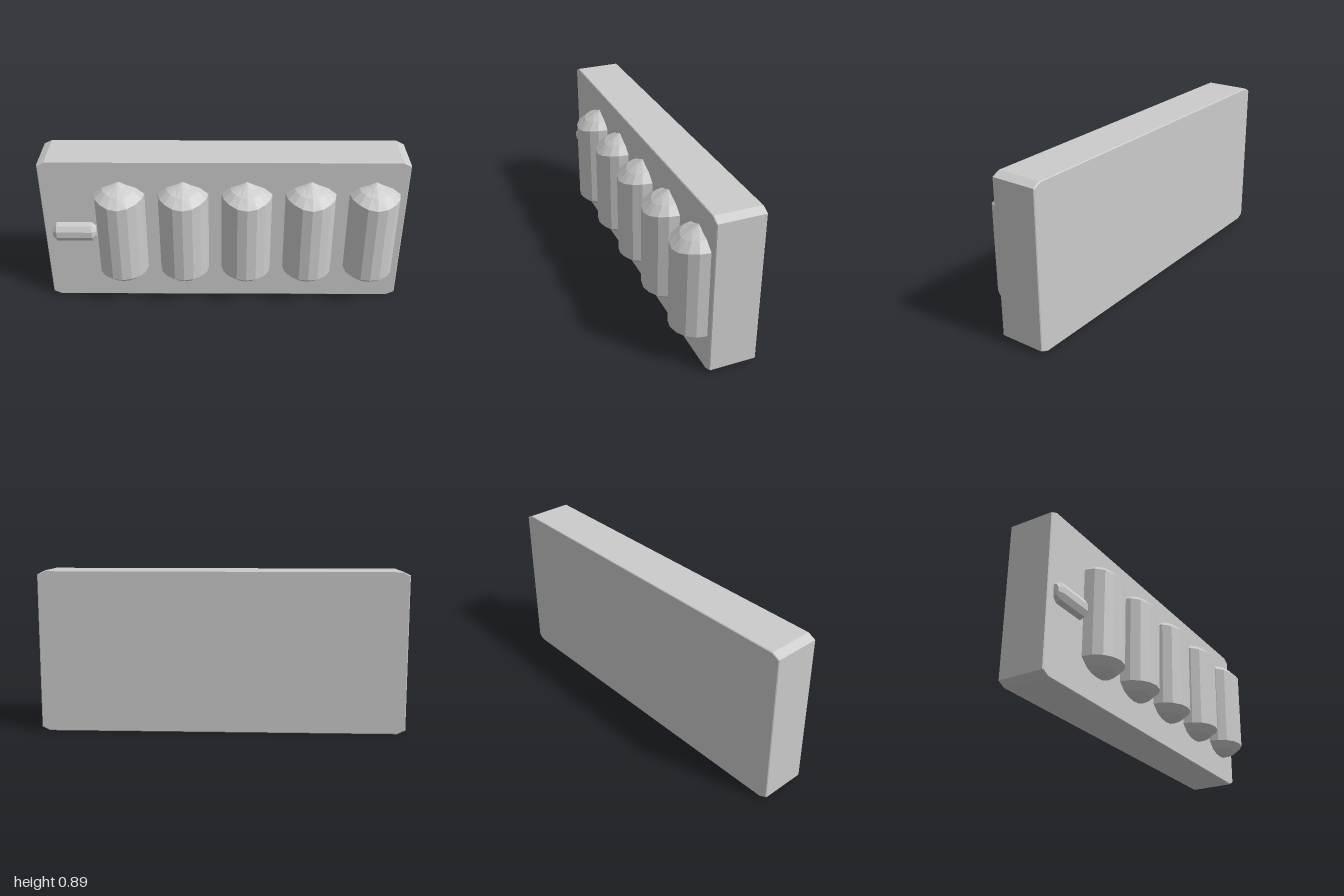
import * as THREE from 'three';

const grey = new THREE.MeshStandardMaterial({ color: 0xcccccc, flatShading: true });
const FACE = 0.06; // z of the block's front face

function addMesh(parent, name, geometry) {
  const mesh = new THREE.Mesh(geometry, grey);
  mesh.name = name;
  parent.add(mesh);
  return mesh;
}

// Half of a lathed capsule, bulging towards +z
function halfLathe(profile, sides) {
  const points = profile.map(([r, y]) => new THREE.Vector2(r, y));
  return new THREE.LatheGeometry(points, sides, -Math.PI / 2, Math.PI);
}

// Slab with four clipped corners
function blockGeometry() {
  const w = 1, h = 0.887, cx = 0.04, cy = 0.02, bevel = 0.004;
  const a = w - bevel, lo = bevel, hi = h - bevel;
  const outline = new THREE.Shape([
    [-a + cx, lo], [a - cx, lo], [a, lo + cy], [a, hi - cy],
    [a - cx, hi], [-a + cx, hi], [-a, hi - cy], [-a, lo + cy],
  ].map(([x, y]) => new THREE.Vector2(x, y)));
  const geo = new THREE.ExtrudeGeometry(outline, {
    depth: 0.255 - 2 * bevel, bevelEnabled: true,
    bevelSize: bevel, bevelThickness: bevel, bevelSegments: 1,
  });
  return geo.translate(0, 0, -0.195 + bevel);
}

// Upright faceted capsule with a pointed dome, shoulders raised at the sides
function capsuleGeometry() {
  const geo = halfLathe([
    [0, 0.145], [0.05, 0.15], [0.095, 0.167], [0.138, 0.206],
    [0.138, 0.665], [0.09, 0.715], [0.045, 0.743], [0, 0.767],
  ], 8);
  const p = geo.attributes.position;
  for (let i = 0; i < p.count; i++) {
    if (p.getY(i) > 0.6) p.setY(i, p.getY(i) + 0.25 * Math.max(0, Math.abs(p.getX(i)) - 0.03));
  }
  geo.computeVertexNormals();
  return geo;
}

export function createModel() {
  const model = new THREE.Group();
  model.name = 'capsulePanel';
  addMesh(model, 'block', blockGeometry());

  // Row of five capsules
  const capsule = capsuleGeometry();
  for (let i = 0; i < 5; i++) {
    addMesh(model, `capsule${i + 1}`, capsule).position.set(-0.57 + i * 0.348, 0, FACE);
  }

  // Small horizontal bar beside the row
  const bar = halfLathe([
    [0, -0.123], [0.035, -0.121], [0.058, -0.098],
    [0.058, 0.098], [0.035, 0.121], [0, 0.123],
  ], 5);
  bar.rotateZ(Math.PI / 2).scale(1, 1, 0.82);
  addMesh(model, 'smallBar', bar).position.set(-0.832, 0.447, FACE);
  return model;
}
